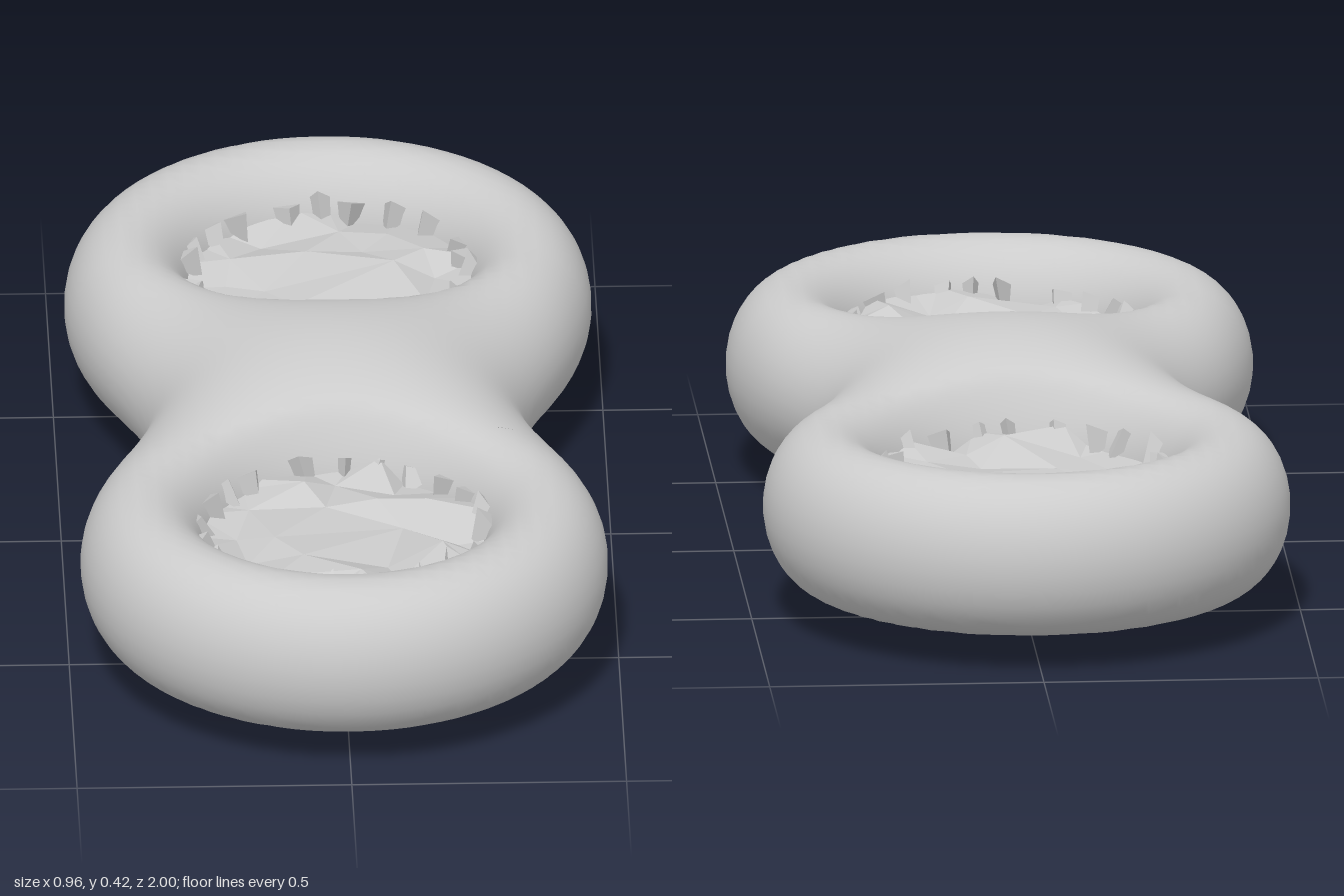
import * as THREE from 'three';

const CENTER_Z = 0.52, CORE = 0.365, TUBE_R = 0.115, TUBE_H = 0.15, MID_Y = 0.207;

// Two elliptical-section rings blended smoothly; negative inside
function field([x, y, z]) {
  const yy = y * (1 + 0.28 * Math.exp(-((z / 0.3) ** 4)));
  const offset = cz => Math.hypot(x, z - cz) - CORE;
  const near = offset(z < 0 ? -CENTER_Z : CENTER_Z), far = offset(z < 0 ? CENTER_Z : -CENTER_Z);
  const a = Math.hypot(near / TUBE_R, yy / TUBE_H) - 1;
  const b = Math.hypot(far / TUBE_R, yy / TUBE_H) - 1;
  const k = 5, h = Math.max(k - Math.abs(a - b), 0) / k;
  // The blend fades out inside the holes so they stay round
  return Math.min(a, b) - h * h * k / 4 * (1 - THREE.MathUtils.smoothstep(-near, 0.05, 0.13));
}

function gradient(p) {
  const e = 1e-3;
  return [0, 1, 2].map(i => {
    const q = [...p], r = [...p];
    q[i] += e;
    r[i] -= e;
    return (field(q) - field(r)) / (2 * e);
  });
}

// Regular net of quads wrapped onto the zero level of the field
function bodyGeometry() {
  const step = 0.03, n = [36, 18, 70];
  const at = c => c.map((v, i) => (v - n[i] / 2 + 0.013) * step);
  const id = c => c[0] + (n[0] + 1) * (c[1] + (n[1] + 1) * c[2]);
  const values = [], cells = new Map(), positions = [], normals = [], index = [];
  const each = fn => {
    for (let k = 0; k < n[2]; k++)
      for (let j = 0; j < n[1]; j++)
        for (let i = 0; i < n[0]; i++) fn([i, j, k]);
  };
  const shift = (c, ...axes) => {
    const r = [...c];
    axes.forEach(a => r[a]--);
    return r;
  };
  for (let k = 0; k <= n[2]; k++)
    for (let j = 0; j <= n[1]; j++)
      for (let i = 0; i <= n[0]; i++) values[id([i, j, k])] = field(at([i, j, k]));

  // One vertex in every cell the surface crosses, pulled onto the surface
  each(c => {
    let inside = 0;
    for (let m = 0; m < 8; m++)
      if (values[id([c[0] + (m & 1), c[1] + ((m >> 1) & 1), c[2] + (m >> 2)])] < 0) inside++;
    if (inside === 0 || inside === 8) return;
    let p = at(c.map(v => v + 0.5)), g;
    for (let s = 0; s < 5; s++) {
      g = gradient(p);
      const len2 = Math.max(g[0] ** 2 + g[1] ** 2 + g[2] ** 2, 1);
      const f = THREE.MathUtils.clamp(field(p) / len2, -0.02, 0.02);
      p = p.map((v, i) => v - g[i] * f);
    }
    g = gradient(p);
    const len = Math.hypot(...g) || 1;
    cells.set(id(c), positions.length / 3);
    positions.push(...p);
    normals.push(...g.map(v => v / len));
  });

  // One quad around every crossed grid edge
  each(c => {
    for (let a = 0; a < 3; a++) {
      const next = [...c];
      next[a]++;
      const inA = values[id(c)] < 0, inB = values[id(next)] < 0;
      if (inA === inB) continue;
      const b = (a + 1) % 3, d = (a + 2) % 3;
      const q = [shift(c, b, d), shift(c, d), c, shift(c, b)].map(v => cells.get(id(v)));
      if (!inA) q.reverse();
      index.push(q[0], q[1], q[2], q[0], q[2], q[3]);
    }
  });
  const geo = new THREE.BufferGeometry();
  geo.setAttribute('position', new THREE.Float32BufferAttribute(positions, 3));
  geo.setAttribute('normal', new THREE.Float32BufferAttribute(normals, 3));
  geo.setIndex(index);
  return geo;
}

function seeded(seed) {
  return () => {
    seed = (seed * 16807) % 2147483647;
    return seed / 2147483647;
  };
}

function facets(points) {
  const geo = new THREE.BufferGeometry().setFromPoints(points);
  geo.computeVertexNormals();
  return geo;
}

// Crumpled sheet across a hole: jittered rings of coarse facets
function membraneGeometry(seed) {
  const rnd = seeded(seed), jitter = a => (rnd() * 2 - 1) * a;
  const rows = [[0.12, 6, 0.025], [0.2, 12, 0.03], [0.28, 24, 0.025]].map(([r, count, lift]) =>
    Array.from({ length: count }, (_, i) => {
      const t = (i + jitter(0.3)) / count * Math.PI * 2, rr = r + jitter(0.015);
      return new THREE.Vector3(Math.cos(t) * rr, jitter(lift), Math.sin(t) * rr);
    }));
  const tris = [], first = rows[0];
  for (let i = 2; i < first.length; i++) tris.push(first[0], first[i], first[i - 1]);
  for (let r = 0; r < 2; r++) {
    const a = rows[r], b = rows[r + 1];
    a.forEach((p, i) => {
      const q = a[(i + 1) % a.length];
      const b0 = b[2 * i], b1 = b[2 * i + 1], b2 = b[(2 * i + 2) % b.length];
      tris.push(p, b1, b0, p, q, b1, q, b2, b1);
    });
  }
  return facets(tris);
}

// Small torn shards rising from the sheet's rim, toward one side
function shardGeometry(seed, side) {
  const rnd = seeded(seed), pts = [], count = 22;
  const point = (r, angle, y) => new THREE.Vector3(Math.cos(angle) * r, y * side, Math.sin(angle) * r);
  for (let i = 0; i < count; i++) {
    const t = (i + rnd() * 0.7) / count * Math.PI * 2, w = 0.08 + rnd() * 0.08;
    const tip = point(0.225 + rnd() * 0.035, t + (rnd() - 0.5) * 0.15, 0.02 + rnd() * 0.03);
    const l = point(0.285, t - w, 0.01), r = point(0.285, t + w, 0.01), low = point(0.23, t, -0.025);
    pts.push(tip, l, r, tip, low, l, tip, r, low);
  }
  return facets(pts);
}

export function createModel() {
  const group = new THREE.Group();
  const smooth = new THREE.MeshStandardMaterial({ color: 0xcccccc });
  const faceted = new THREE.MeshStandardMaterial({ color: 0xcccccc, flatShading: true, side: THREE.DoubleSide });
  const add = (name, geo, mat, y, z) => {
    const mesh = new THREE.Mesh(geo, mat);
    mesh.name = name;
    mesh.position.set(0, MID_Y + y, z);
    group.add(mesh);
  };
  add('doubleRingBody', bodyGeometry(), smooth, 0, 0);
  // Each hole is closed by an upper and a lower crumpled sheet
  [['front', 1, 71], ['back', -1, 409]].forEach(([end, s, seed]) => {
    [['Upper', 1], ['Lower', -1]].forEach(([level, side]) => {
      add(end + level + 'Membrane', membraneGeometry(seed + side * 30), faceted, side * 0.06, s * CENTER_Z);
      add(end + level + 'RimShards', shardGeometry(seed + side * 17, side), faceted, side * 0.06, s * CENTER_Z);
    });
  });
  return group;
}
